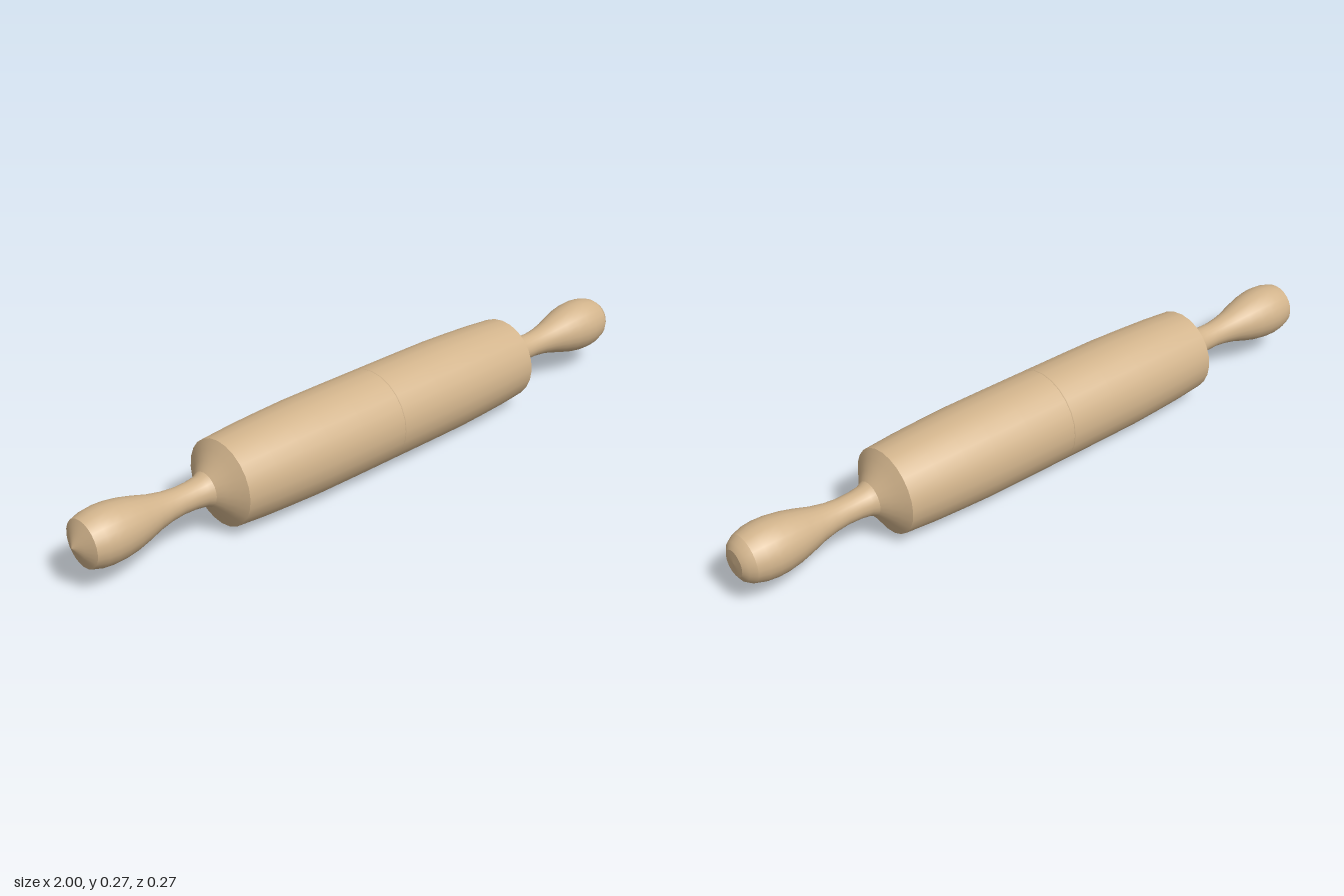
import * as THREE from 'three';

const SIDES = 24;
const AXIS_Y = 0.137;

export function createModel() {
  const group = new THREE.Group();
  group.name = 'rollingPin';
  const wood = new THREE.MeshStandardMaterial({ color: 0xd2b48c });
  wood.name = 'wood';

  // Turns a profile of [x, radius] pairs around the pin's long axis; side -1 mirrors it
  function turned(name, profile, side = 1) {
    const pts = profile.map(([x, r]) => new THREE.Vector2(r, x * side));
    if (side < 0) pts.reverse();
    const geo = new THREE.LatheGeometry(pts, SIDES);
    geo.rotateZ(-Math.PI / 2);
    const mesh = new THREE.Mesh(geo, wood);
    mesh.name = name;
    mesh.position.y = AXIS_Y;
    group.add(mesh);
  }

  // Handle: narrow neck swelling into a rounded grip
  const neckAndGrip = [
    [0.595, 0.049], [0.61, 0.042], [0.64, 0.038], [0.68, 0.037], [0.72, 0.041],
    [0.76, 0.049], [0.80, 0.061], [0.84, 0.071], [0.88, 0.077], [0.91, 0.078],
    [0.94, 0.075], [0.97, 0.066],
  ];

  for (const [label, side] of [['left', 1], ['right', -1]]) {
    // Gently barrelled half of the roller, with a fine seam in the middle
    turned(label + 'Roller', [
      [0, 0.134], [0.002, 0.1365], [0.15, 0.1365], [0.27, 0.136], [0.36, 0.133],
      [0.45, 0.129], [0.545, 0.122],
    ], side);
    // Sloped shoulder between roller and handle
    turned(label + 'Shoulder', [
      [0.545, 0.122], [0.56, 0.098], [0.577, 0.072], [0.595, 0.049],
    ], side);
    turned(label + 'Handle', neckAndGrip, side);
  }

  // Left end: bevel and small flat cap; right end: blunt cone
  turned('leftTipBevel', [[0.97, 0.066], [0.988, 0.054], [0.998, 0.037]]);
  turned('leftTipCap', [[0.998, 0.037], [1, 0]]);
  turned('rightTip', [[0.97, 0.066], [0.985, 0.035], [1, 0]], -1);

  return group;
}
